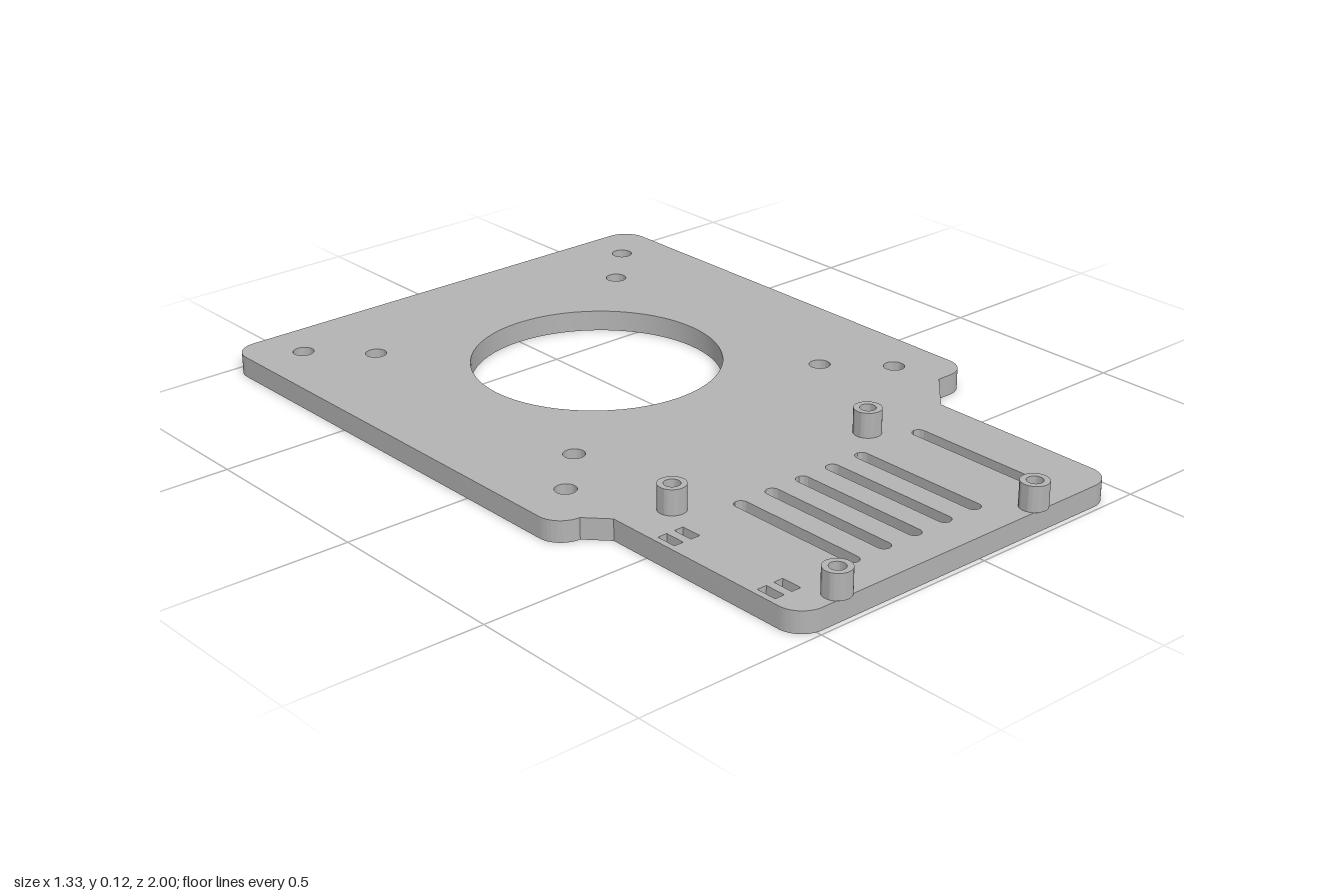
import * as THREE from 'three';
import { toCreasedNormals } from 'three/addons/utils/BufferGeometryUtils.js';

const THICK = 0.055, TOP = 0.12;

// Shapes are drawn with y = -z and extruded upwards
function extrudeUp(shape, height, y, curveSegments) {
  const g = new THREE.ExtrudeGeometry(shape, { depth: height, bevelEnabled: false, curveSegments });
  g.rotateX(-Math.PI / 2);
  g.translate(0, y, 0);
  return toCreasedNormals(g, 0.6);
}

function circle(x, z, r) {
  return new THREE.Path().absarc(x, -z, r, 0, Math.PI * 2, true);
}

// Slot along z with round ends
function slot(x, z0, z1, r) {
  return new THREE.Path()
    .absarc(x, -z0 - r, r, 0, Math.PI, false)
    .absarc(x, -z1 + r, r, Math.PI, Math.PI * 2, false)
    .closePath();
}

function rect(x, z0, z1, w) {
  return new THREE.Path([[-1, z0], [1, z0], [1, z1], [-1, z1]]
    .map(([s, z]) => new THREE.Vector2(x + s * w / 2, -z))).closePath();
}

// Wide body with four rounded corners, narrowing through chamfers to the front tab
function plateOutline() {
  const w = 0.667, r = 0.065, mid = 0.333, front = 0.987, P = Math.PI;
  const s = new THREE.Shape();
  s.moveTo(-0.55, -0.388);
  s.lineTo(-0.55, -front + r);
  s.absarc(-0.55 + r, -front + r, r, P, 1.5 * P, false);
  s.absarc(0.45 - r, -front + r, r, 1.5 * P, 2 * P, false);
  s.lineTo(0.45, -0.443);
  s.lineTo(0.56, -mid);
  s.absarc(w - r, -mid + r, r, 1.5 * P, 2 * P, false);
  s.absarc(w - r, 1 - r, r, 0, 0.5 * P, false);
  s.absarc(-w + r, 1 - r, r, 0.5 * P, P, false);
  s.absarc(-w + r, -mid + r, r, P, 1.5 * P, false);
  s.closePath();
  return s;
}

export function createModel() {
  const group = new THREE.Group();
  const grey = new THREE.MeshStandardMaterial({ color: 0xb3b3b3 });
  grey.name = 'plain grey';

  const plate = plateOutline();
  // Large opening and the two square patterns of screw holes around it
  const cz = -0.335;
  plate.holes.push(circle(0, cz, 0.322));
  for (const d of [0.535, 0.402])
    for (const sx of [-1, 1])
      for (const sz of [-1, 1]) plate.holes.push(circle(sx * d, cz + sz * d, 0.027));
  // Ventilation slots
  for (const x of [-0.287, -0.19, -0.094, 0.002, 0.098, 0.291])
    plate.holes.push(slot(x, 0.504, 0.892, 0.0175));
  // Cable tie openings
  for (const x of [-0.521, -0.473])
    for (const z of [0.52, 0.84]) plate.holes.push(rect(x, z, z + 0.055, 0.026));

  const plateMesh = new THREE.Mesh(extrudeUp(plate, THICK, 0, 32), grey);
  plateMesh.name = 'mountingPlate';
  group.add(plateMesh);

  // Hollow standoffs on the front tab
  const ring = new THREE.Shape().absarc(0, 0, 0.035, 0, Math.PI * 2, false);
  ring.holes.push(circle(0, 0, 0.02));
  const ringGeometry = extrudeUp(ring, TOP - THICK, THICK, 24);
  for (const x of [-0.42, 0.2])
    for (const z of [0.437, 0.963]) {
      const standoff = new THREE.Mesh(ringGeometry, grey);
      standoff.name = 'standoff';
      standoff.position.set(x, 0, z);
      group.add(standoff);
    }
  return group;
}
